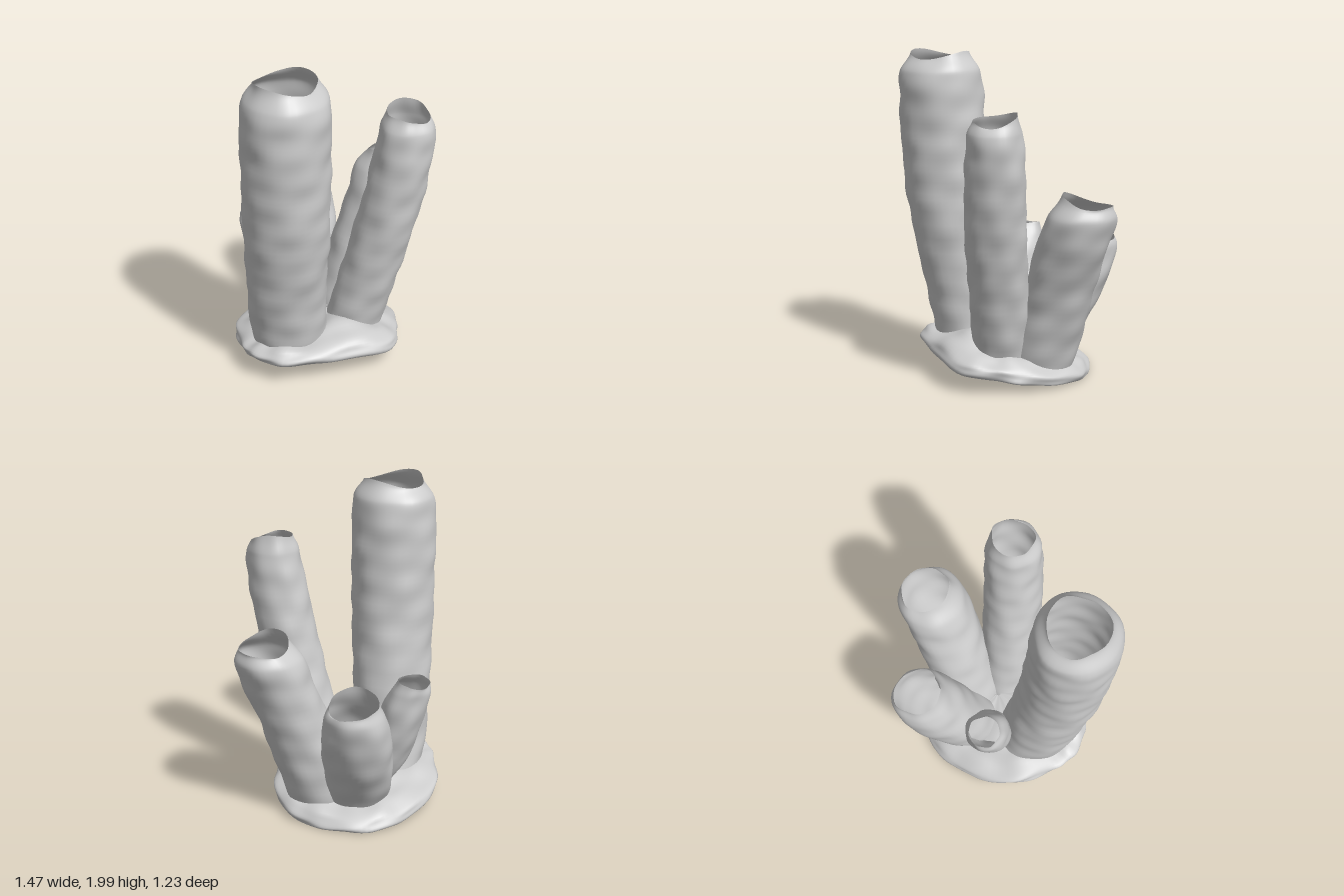
import * as THREE from 'three';

const material = new THREE.MeshStandardMaterial({ color: 0xcccccc, side: THREE.DoubleSide });

// Skin a grid of closed rings: point(u, v) with u around (0..1) and v along (0..1)
function loft(name, around, along, point) {
  const positions = [], index = [];
  for (let j = 0; j <= along; j++) {
    for (let i = 0; i < around; i++) {
      positions.push(...point(i / around, j / along));
      if (j === along) continue;
      const a = j * around + i, b = j * around + (i + 1) % around;
      index.push(a, a + around, b, b, a + around, b + around);
    }
  }
  const geometry = new THREE.BufferGeometry();
  geometry.setAttribute('position', new THREE.Float32BufferAttribute(positions, 3));
  geometry.setIndex(index);
  geometry.computeVertexNormals();
  const mesh = new THREE.Mesh(geometry, material);
  mesh.name = name;
  return mesh;
}

// Smooth, repeatable lumps, periodic around the angle
const lumps = (a, y, s) =>
  0.40 * Math.sin(3 * a + 6 * y + s) * Math.cos(9 * y + 2 * s) +
  0.35 * Math.sin(5 * a - 13 * y + 2 * s) * Math.cos(2 * a + 4 * y) +
  0.40 * Math.sin(2 * a + 31 * y + 3 * s) * Math.cos(3 * a - 5 * y + s);

// Each station is [y, centre x, centre z, radius]; tilt raises the rim towards +x / +z
const tubes = [
  { name: 'tallTube', seed: 1, tilt: [0, 0], wave: 0.024, phase: 0, stations: [
    [0.12, -0.31, -0.06, 0.24], [0.5, -0.38, -0.03, 0.24], [1.0, -0.44, 0.03, 0.255], [1.4, -0.465, 0.05, 0.26],
    [1.72, -0.475, 0.06, 0.26], [1.87, -0.475, 0.065, 0.245], [1.97, -0.475, 0.06, 0.18]] },
  { name: 'frontTube', seed: 2.3, tilt: [0.005, -0.028], wave: 0.015, phase: 1, stations: [
    [0.1, 0.03, 0.14, 0.18], [0.5, 0.07, 0.245, 0.18], [1.0, 0.125, 0.365, 0.182],
    [1.4, 0.165, 0.43, 0.175], [1.57, 0.175, 0.445, 0.16], [1.655, 0.18, 0.445, 0.127]] },
  { name: 'leftTube', seed: 4.1, tilt: [-0.03, 0.015], wave: 0.018, phase: 0.6, stations: [
    [0.07, 0.18, -0.01, 0.22], [0.35, 0.275, 0.005, 0.217], [0.6, 0.36, 0.025, 0.212], [0.9, 0.475, 0.06, 0.213],
    [1.06, 0.53, 0.065, 0.205], [1.155, 0.57, 0.065, 0.148]] },
  { name: 'backLeftTube', seed: 5.7, tilt: [-0.04, 0.02], wave: 0.015, phase: 2, stations: [
    [0.07, 0.06, -0.19, 0.19], [0.25, 0.12, -0.27, 0.205], [0.45, 0.195, -0.345, 0.213], [0.65, 0.26, -0.4, 0.205],
    [0.78, 0.295, -0.43, 0.18], [0.86, 0.315, -0.44, 0.147]] },
  { name: 'backTube', seed: 7.2, tilt: [0, 0.01], wave: 0.008, phase: 0, stations: [
    [0.08, -0.07, -0.17, 0.09], [0.3, -0.11, -0.265, 0.125], [0.5, -0.14, -0.325, 0.14],
    [0.7, -0.165, -0.38, 0.137], [0.8, -0.175, -0.41, 0.12], [0.865, -0.18, -0.435, 0.095]] },
];

function makeTube({ name, seed, tilt, wave, phase, stations }) {
  const axis = new THREE.CatmullRomCurve3(stations.map(([y, x, z]) => new THREE.Vector3(x, y, z)));
  const radii = new THREE.SplineCurve(stations.map((s, i) => new THREE.Vector2(i, s[3])));
  const along = Math.round(stations.at(-1)[0] * 34);
  return loft(name, 40, along, (u, v) => {
    const a = u * Math.PI * 2, c = axis.getPoint(v);
    const r = radii.getPoint(v).y + 0.011 * lumps(a, c.y, seed);
    const rim = v ** 12;
    const lift = tilt[0] * Math.cos(a) + tilt[1] * Math.sin(a) + wave * Math.cos(2 * a + phase);
    return [c.x + r * Math.cos(a), c.y + rim * lift, c.z + r * Math.sin(a)];
  });
}

// Hollow crust: a sloping lumpy skirt that curls under and is open below
function makeBase() {
  const outline = new THREE.CatmullRomCurve3([
    [0.47, -0.02], [0.34, 0.28], [0.17, 0.42], [-0.03, 0.51], [-0.38, 0.33], [-0.61, 0.12], [-0.65, -0.08],
    [-0.58, -0.23], [-0.38, -0.46], [-0.02, -0.54], [0.24, -0.48], [0.41, -0.25],
  ].map(([x, z]) => new THREE.Vector3(x, 0, z)), true);
  // Cross-section: [fraction of the outline, height above the sloping foot]
  const section = new THREE.SplineCurve([
    [0.8, 0.03], [0.9, 0.01], [0.97, 0.0], [1.0, 0.025], [0.985, 0.055], [0.91, 0.085],
    [0.78, 0.11], [0.6, 0.13], [0.35, 0.15], [0.03, 0.16],
  ].map(([f, h]) => new THREE.Vector2(f, h)));
  return loft('baseCrust', 96, 32, (u, v) => {
    const a = u * Math.PI * 2, o = outline.getPoint(u), s = section.getPoint(v);
    const f = s.x * (1 + 0.03 * lumps(2 * a, s.y * 3, 1.5));
    const x = o.x * f, z = o.z * f;
    const foot = 0.064 - 0.12 * x + 0.085 * z;
    const swell = v * (0.03 * s.x * lumps(2 * a, s.x * 0.6, 3) + 0.04 * z
      + 0.07 * Math.exp(-((x + 0.15) ** 2 + (z - 0.24) ** 2) / 0.02));
    return [x, Math.max(0, foot + s.y + swell), z];
  });
}

export function createModel() {
  const group = new THREE.Group();
  group.name = 'tubeSponge';
  group.add(makeBase(), ...tubes.map(makeTube));
  return group;
}
